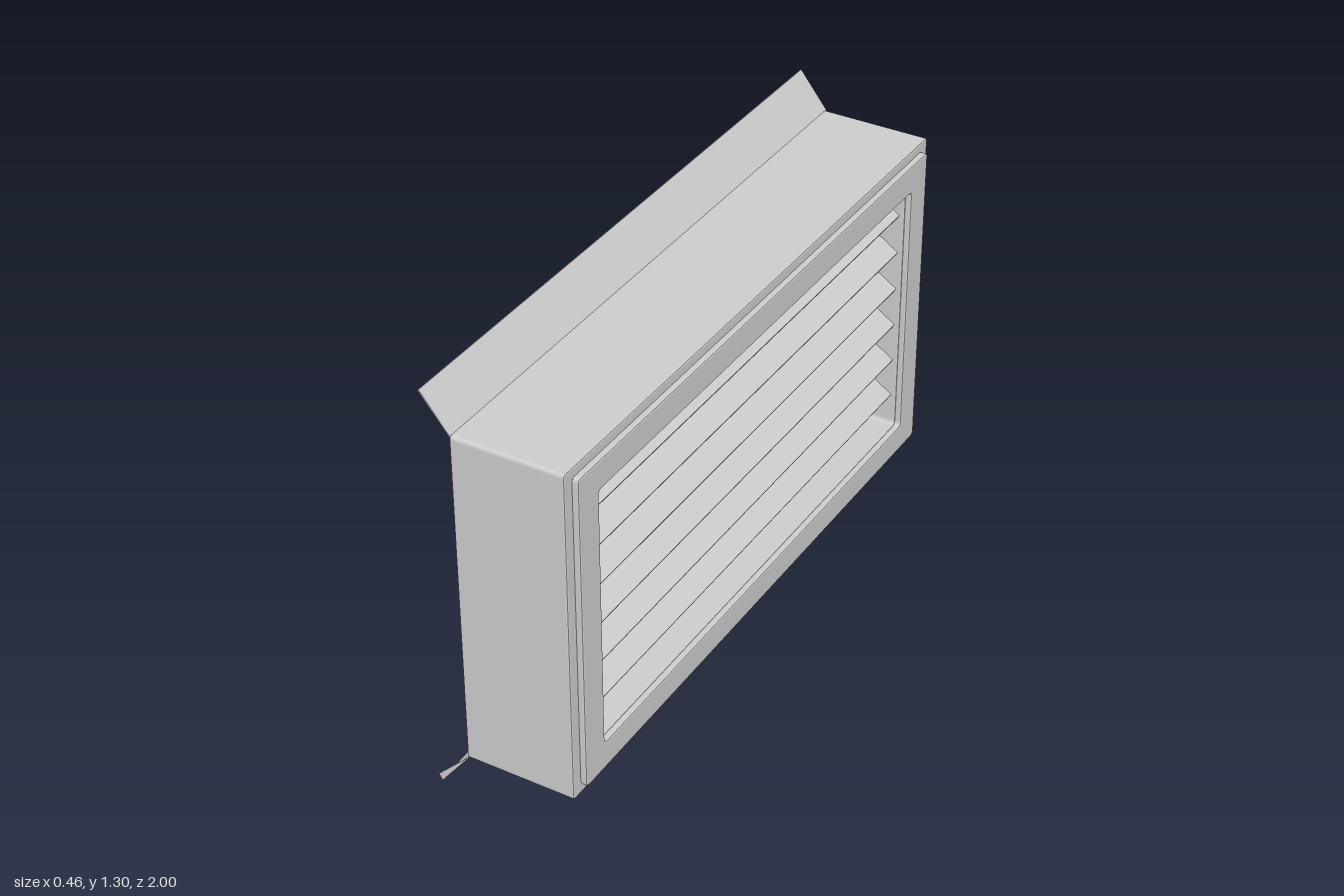
import * as THREE from 'three';

const material = new THREE.MeshStandardMaterial({ color: 0xcccccc, flatShading: true, side: THREE.DoubleSide });

// Rounded rectangle in the (z, y) plane, centred on a given height
function roundedRect(Target, halfW, y0, y1, r) {
  const s = new Target();
  s.moveTo(-halfW + r, y0);
  s.lineTo(halfW - r, y0);
  s.quadraticCurveTo(halfW, y0, halfW, y0 + r);
  s.lineTo(halfW, y1 - r);
  s.quadraticCurveTo(halfW, y1, halfW - r, y1);
  s.lineTo(-halfW + r, y1);
  s.quadraticCurveTo(-halfW, y1, -halfW, y1 - r);
  s.lineTo(-halfW, y0 + r);
  s.quadraticCurveTo(-halfW, y0, -halfW + r, y0);
  return s;
}

// Plate or frame extruded along x from x0 to x1; outer and hole are [halfWidth, bottom, top, radius]
function frame(name, x0, x1, outer, hole, bevel = 0) {
  const shape = roundedRect(THREE.Shape, ...outer);
  if (hole) shape.holes.push(roundedRect(THREE.Path, ...hole));
  const geo = new THREE.ExtrudeGeometry(shape, {
    depth: x1 - x0 - 2 * bevel, curveSegments: 4,
    bevelEnabled: bevel > 0, bevelThickness: bevel, bevelSize: bevel, bevelOffset: -bevel, bevelSegments: 2,
  });
  geo.translate(0, 0, x0 + bevel).rotateY(Math.PI / 2);
  const mesh = new THREE.Mesh(geo, material);
  mesh.name = name;
  return mesh;
}

// Thin bar running along z with a closed (x, y) profile
function bar(name, points, length) {
  const shape = new THREE.Shape(points.map(([x, y]) => new THREE.Vector2(x, y)));
  const geo = new THREE.ExtrudeGeometry(shape, { depth: length, bevelEnabled: false });
  geo.translate(0, 0, -length / 2);
  const mesh = new THREE.Mesh(geo, material);
  mesh.name = name;
  return mesh;
}

export function createModel() {
  const group = new THREE.Group();
  group.name = 'louvredVent';
  const opening = [0.87, 0.235, 1.07, 0.015];

  // Sleeve open towards the wall, with its face plate and raised frame
  group.add(
    frame('sleeve', -0.13, 0.2, [1, 0.12, 1.188, 0.012], [0.996, 0.124, 1.184, 0.01]),
    frame('facePlate', 0.192, 0.21, [1, 0.12, 1.188, 0.012], opening, 0.005),
    frame('raisedFrame', 0.208, 0.23, [0.965, 0.148, 1.16, 0.015], opening, 0.005),
  );

  // Closed recess behind the slats
  group.add(
    frame('recessWalls', 0.02, 0.2, [0.874, 0.231, 1.074, 0.018], opening),
    frame('recessBack', 0.018, 0.024, [0.874, 0.231, 1.074, 0.018]),
  );

  // Six slats, sloping down towards the face
  for (let i = 0; i < 6; i++) {
    const y = 0.33 + i * 0.128;
    group.add(bar('slat', [[0.187, y], [0.193, y + 0.011], [0.108, y + 0.067], [0.101, y + 0.056]], 1.74));
  }

  // Splayed fixing flanges above and below the open side
  group.add(
    bar('upperFlange', [[-0.13, 1.183], [-0.13, 1.188], [-0.218, 1.3], [-0.222, 1.298]], 2),
    bar('lowerFlange', [[-0.13, 0.125], [-0.13, 0.12], [-0.222, 0], [-0.226, 0.003]], 2),
  );

  // Small triangular lips closing the ends of the lower flange
  for (const side of [-1, 1]) {
    const lip = bar('flangeLip', [[-0.13, 0.122], [-0.234, 0.018], [-0.224, 0.001]], 0.004);
    lip.position.z = side * 0.998;
    group.add(lip);
  }
  return group;
}
